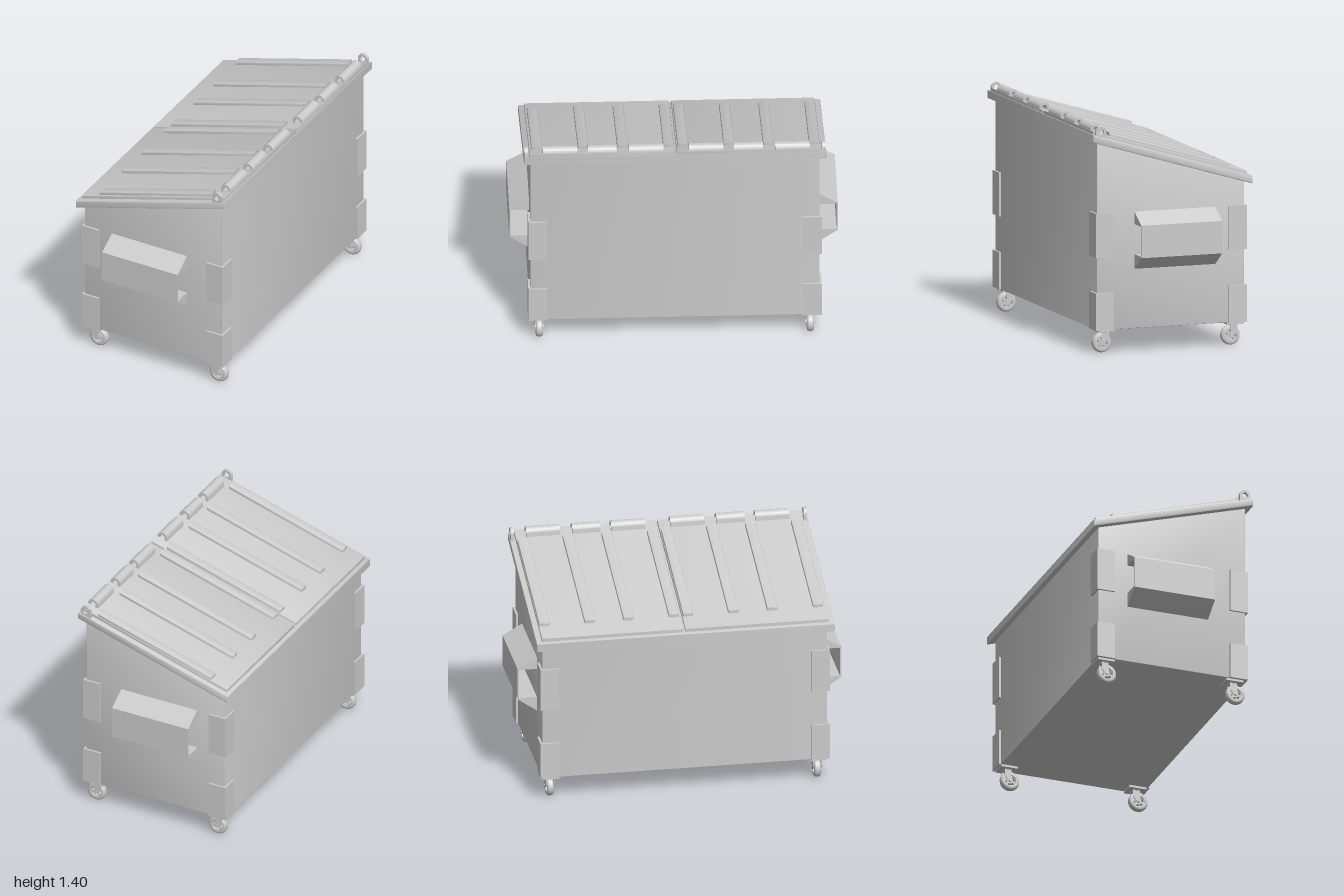
import * as THREE from 'three';
import { toCreasedNormals } from 'three/addons/utils/BufferGeometryUtils.js';

const grey = new THREE.MeshStandardMaterial({ color: 0xcccccc });
const SLOPE = 0.298;
const roof = (x) => 1.155 + SLOPE * x; // underside line of the sloping lid rim

function add(parent, name, geometry, x = 0, y = 0, z = 0) {
  const mesh = new THREE.Mesh(geometry, grey);
  mesh.name = name;
  mesh.position.set(x, y, z);
  parent.add(mesh);
  return mesh;
}

const polygon = (points) => new THREE.Shape(points.map(([x, y]) => new THREE.Vector2(x, y)));

// Extrude an xy outline between z0 and z1; the bevel stays inside these limits along z
function extrude(shape, z0, z1, bevel = 0) {
  const geometry = new THREE.ExtrudeGeometry(shape, {
    depth: z1 - z0 - 2 * bevel, bevelEnabled: bevel > 0, bevelSize: bevel,
    bevelOffset: -bevel, bevelThickness: bevel, bevelSegments: 2, curveSegments: 20,
  });
  geometry.translate(0, 0, z0 + bevel);
  return toCreasedNormals(geometry, 0.6);
}

// Slab following the roof slope, from h0 to h1 above the roof line
function slopedSlab(x0, x1, h0, h1, z0, z1, bevel) {
  return extrude(polygon([
    [x0, roof(x0) + h0], [x1, roof(x1) + h0], [x1, roof(x1) + h1], [x0, roof(x0) + h1],
  ]), z0, z1, bevel);
}

// Upright eye with a round top and a pin hole
function eyeShape(cx, cy, r, hole) {
  const shape = new THREE.Shape();
  shape.moveTo(cx - r, roof(cx - r) + 0.03);
  shape.lineTo(cx + r, roof(cx + r) + 0.03);
  shape.lineTo(cx + r, cy);
  shape.absarc(cx, cy, r, 0, Math.PI, false);
  shape.closePath();
  shape.holes.push(new THREE.Path().absarc(cx, cy, hole, 0, Math.PI * 2, true));
  return shape;
}

function makeCaster() {
  const caster = new THREE.Group();
  caster.name = 'caster';
  add(caster, 'casterPlate', new THREE.BoxGeometry(0.11, 0.014, 0.1), -0.005, 0.139, 0);
  add(caster, 'swivel', new THREE.CylinderGeometry(0.032, 0.026, 0.012, 20), -0.005, 0.128, 0);

  // Tyre with a rounded tread
  const profile = [
    [0.036, -0.02], [0.05, -0.021], [0.057, -0.017], [0.061, -0.008],
    [0.061, 0.008], [0.057, 0.017], [0.05, 0.021], [0.036, 0.02], [0.036, -0.02],
  ].map(([r, h]) => new THREE.Vector2(r, h));
  const tyre = toCreasedNormals(new THREE.LatheGeometry(profile, 32).rotateX(Math.PI / 2), 0.7);
  add(caster, 'tyre', tyre, 0.012, 0.062, 0);

  // Wheel disc with three curved openings
  const disc = new THREE.Shape().absarc(0, 0, 0.037, 0, Math.PI * 2, false);
  for (let i = 0; i < 3; i++) {
    const a = i * Math.PI * 2 / 3;
    const opening = new THREE.Path();
    opening.absarc(0, 0, 0.032, a, a + 1.5, false);
    opening.absarc(0, 0, 0.02, a + 1.5, a, true);
    opening.closePath();
    disc.holes.push(opening);
  }
  add(caster, 'wheelDisc', extrude(disc, -0.012, 0.012), 0.012, 0.062, 0);
  add(caster, 'axle', new THREE.CylinderGeometry(0.01, 0.01, 0.058, 16).rotateX(Math.PI / 2), 0.012, 0.062, 0);

  // Fork arms on both sides of the wheel
  const arm = polygon([
    [-0.028, 0.13], [-0.028, 0.085], [0, 0.053], [0.012, 0.048],
    [0.024, 0.055], [0.026, 0.068], [0.016, 0.085], [0.016, 0.13],
  ]);
  for (const z of [-0.027, 0.022]) add(caster, 'forkArm', extrude(arm, z, z + 0.005));
  add(caster, 'forkBridge', new THREE.BoxGeometry(0.044, 0.005, 0.054), -0.006, 0.1265, 0);
  return caster;
}

export function createModel() {
  const model = new THREE.Group();
  model.name = 'wasteContainer';

  // Bin body with sloping top
  add(model, 'body', extrude(polygon([
    [-0.478, 0.146], [0.478, 0.146], [0.478, roof(0.478) + 0.01], [-0.478, roof(-0.478) + 0.01],
  ]), -0.88, 0.88, 0.005));

  // Overhanging rim and the two lids with their ribs
  add(model, 'rim', slopedSlab(-0.52, 0.517, 0, 0.048, -0.92, 0.92, 0.008));
  for (const [z0, z1] of [[-0.885, -0.011], [0.001, 0.885]]) {
    add(model, 'lid', slopedSlab(-0.497, 0.503, 0.03, 0.068, z0, z1, 0.005));
  }
  for (const z of [-0.85, -0.57, -0.33, -0.05, 0.037, 0.317, 0.557, 0.84]) {
    add(model, 'lidRib', slopedSlab(-0.385, 0.4, 0.05, 0.087, z - 0.032, z + 0.032, 0.009));
  }

  // Hinge barrels on the lids and end eyes on the rim
  const eye = eyeShape(0.463, 1.371, 0.034, 0.018);
  const barrels = [[-0.82, -0.61], [-0.535, -0.36], [-0.295, -0.085], [0.07, 0.28], [0.355, 0.53], [0.595, 0.805]];
  for (const [z0, z1] of barrels) add(model, 'hingeBarrel', extrude(eye, z0, z1));
  for (const z of [-0.915, 0.895]) add(model, 'hingeEye', extrude(eye, z, z + 0.02));

  // Lifting pockets, drawn as (distance from centre, height), then run along x
  for (const side of [1, -1]) {
    const pocket = extrude(polygon([
      [0.875, 0.868], [0.88, 0.865], [1, 0.795], [1, 0.595], [0.88, 0.512], [0.875, 0.51],
      [0.875, 0.602], [0.992, 0.602], [0.992, 0.788], [0.875, 0.788],
    ]), -0.2625, 0.2625);
    pocket.rotateY(-side * Math.PI / 2);
    add(model, 'liftPocket', pocket, -0.0275, 0, 0).geometry.computeBoundingBox();
    // A quarter turn sends the outline to +z or -z without flipping faces
  }

  // Wrap-around corner plates and casters
  const t = 0.013;
  for (const sx of [-1, 1]) {
    for (const sz of [-1, 1]) {
      for (const [y0, y1] of [[0.146, 0.375], [0.595, 0.866]]) {
        const plate = new THREE.Group();
        plate.name = 'cornerPlate';
        const h = y1 - y0;
        const y = (y0 + y1) / 2;
        add(plate, 'endPlate', new THREE.BoxGeometry(0.116, h, t), sx * 0.433, y, sz * (0.88 + t / 2));
        add(plate, 'sidePlate', new THREE.BoxGeometry(t, h, 0.113), sx * (0.478 + t / 2), y, sz * 0.8365);
        model.add(plate);
      }
      const caster = makeCaster();
      caster.position.set(sx * 0.418, 0, sz * 0.825);
      model.add(caster);
    }
  }
  return model;
}
